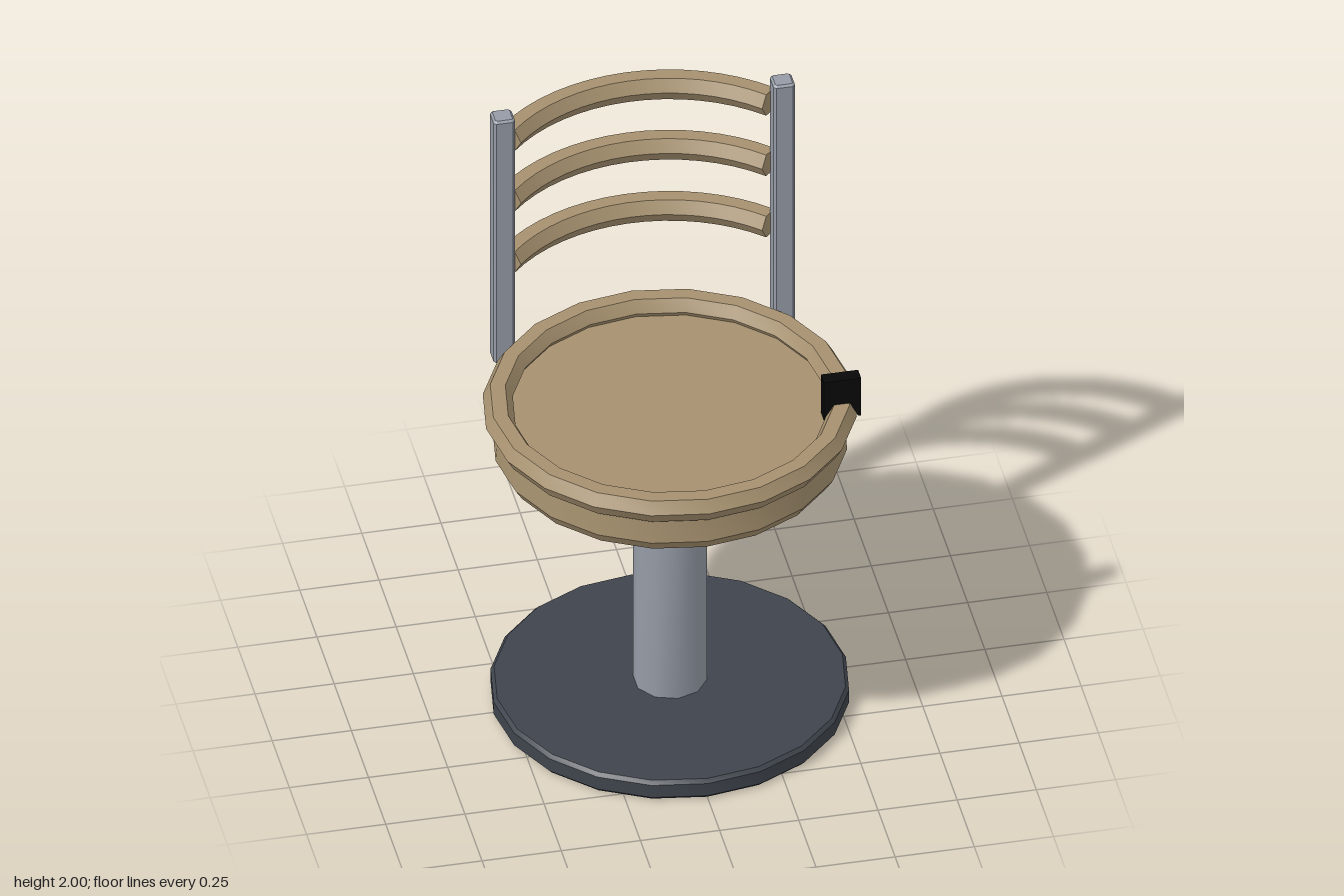
import * as THREE from 'three';
import { toCreasedNormals } from 'three/addons/utils/BufferGeometryUtils.js';

const mat = (color) => new THREE.MeshStandardMaterial({ color });
const wood = mat(0xa6916f);
const metal = mat(0x959ba6);
const baseGrey = mat(0x3f454d);
const black = mat(0x1c1e22);
const pitch = mat(0x080808);
const CZ = 0.025; // z of the pedestal axis

function add(group, name, geometry, material, x = 0, y = 0, z = 0, crease = 0.45) {
  const mesh = new THREE.Mesh(toCreasedNormals(geometry, crease), material);
  mesh.name = name;
  mesh.position.set(x, y, z);
  group.add(mesh);
  return mesh;
}

// Turned part from [radius, y] pairs, listed bottom to top on the outside
function lathe(points, sides = 20, start = 0, length = Math.PI * 2) {
  return new THREE.LatheGeometry(points.map(([r, y]) => new THREE.Vector2(r, y)), sides, start, length);
}

// Box with all edges chamfered by c, standing on y = 0
function chamferBox(w, h, d, c) {
  const a = w / 2 - c, b = d / 2 - c, k = c * 0.6;
  const shape = new THREE.Shape([
    [-a + k, -b], [a - k, -b], [a, -b + k], [a, b - k],
    [a - k, b], [-a + k, b], [-a, b - k], [-a, -b + k],
  ].map(([x, y]) => new THREE.Vector2(x, y)));
  return new THREE.ExtrudeGeometry(shape, {
    depth: h - 2 * c, bevelEnabled: true, bevelThickness: c, bevelSize: c, bevelSegments: 1,
  }).rotateX(-Math.PI / 2).translate(0, c, 0);
}

// Closed six-sided section between radii r0 and r1
function hexSection(r0, r1, h) {
  const b = 0.023;
  return [[r0 + b, -h / 2], [r1 - b, -h / 2], [r1, 0], [r1 - b, h / 2], [r0 + b, h / 2], [r0, 0], [r0 + b, -h / 2]];
}

export function createModel() {
  const model = new THREE.Group();
  model.name = 'swivelChair';

  // Pedestal
  add(model, 'base', lathe([[0, 0], [0.545, 0], [0.556, 0.012], [0.556, 0.058], [0.545, 0.07], [0, 0.07]]), baseGrey, 0, 0, CZ);
  add(model, 'column', new THREE.CylinderGeometry(0.115, 0.115, 0.8, 10), metal, 0, 0.46, CZ + 0.003, 0.8);
  add(model, 'bracket', chamferBox(0.7, 0.12, 0.37, 0.022), black, 0, 0.825, -0.045);

  // Seat disc with raised rim
  add(model, 'seat', lathe([[0, 0.943], [0.527, 0.943], [0.55, 0.98], [0.543, 1.07], [0.52, 1.09], [0, 1.09]]), wood, 0, 0, CZ);
  add(model, 'seatRim', lathe(hexSection(0.487, 0.58, 0.079)), wood, 0, 1.107, CZ);

  // Back posts
  for (const side of [-1, 1]) {
    add(model, side > 0 ? 'leftPost' : 'rightPost', chamferBox(0.068, 0.925, 0.068, 0.007), metal, side * 0.442, 1.075, -0.373);
  }

  // Curved back slats with capped ends, a little longer on the right
  const section = hexSection(0.533, 0.625, 0.08);
  const leftEnd = Math.PI - 0.78, rightEnd = Math.PI + 0.82;
  const cap = new THREE.Shape(section.slice(0, 6).map(([r, y]) => new THREE.Vector2(r, y)));
  const capWood = wood.clone();
  capWood.side = THREE.DoubleSide;
  for (const y of [1.443, 1.677, 1.908]) {
    const slat = new THREE.Group();
    slat.name = 'backSlat';
    slat.position.set(0, y, 0.021);
    add(slat, 'slatBar', lathe(section, 16, leftEnd, rightEnd - leftEnd), wood);
    for (const angle of [leftEnd, rightEnd]) {
      add(slat, 'slatEnd', new THREE.ShapeGeometry(cap), capWood).rotation.y = angle - Math.PI / 2;
    }
    model.add(slat);
  }

  // Clip straddling the rim on the left side
  const clip = new THREE.Shape([
    [0.452, 1.094], [0.466, 1.094], [0.49, 1.146], [0.535, 1.146],
    [0.56, 1.094], [0.57, 1.094], [0.57, 1.236], [0.452, 1.236],
  ].map(([x, y]) => new THREE.Vector2(x, y)));
  add(model, 'rimClip', new THREE.ExtrudeGeometry(clip, { depth: 0.045, bevelEnabled: false }), pitch, 0, 0, 0.139);

  return model;
}
